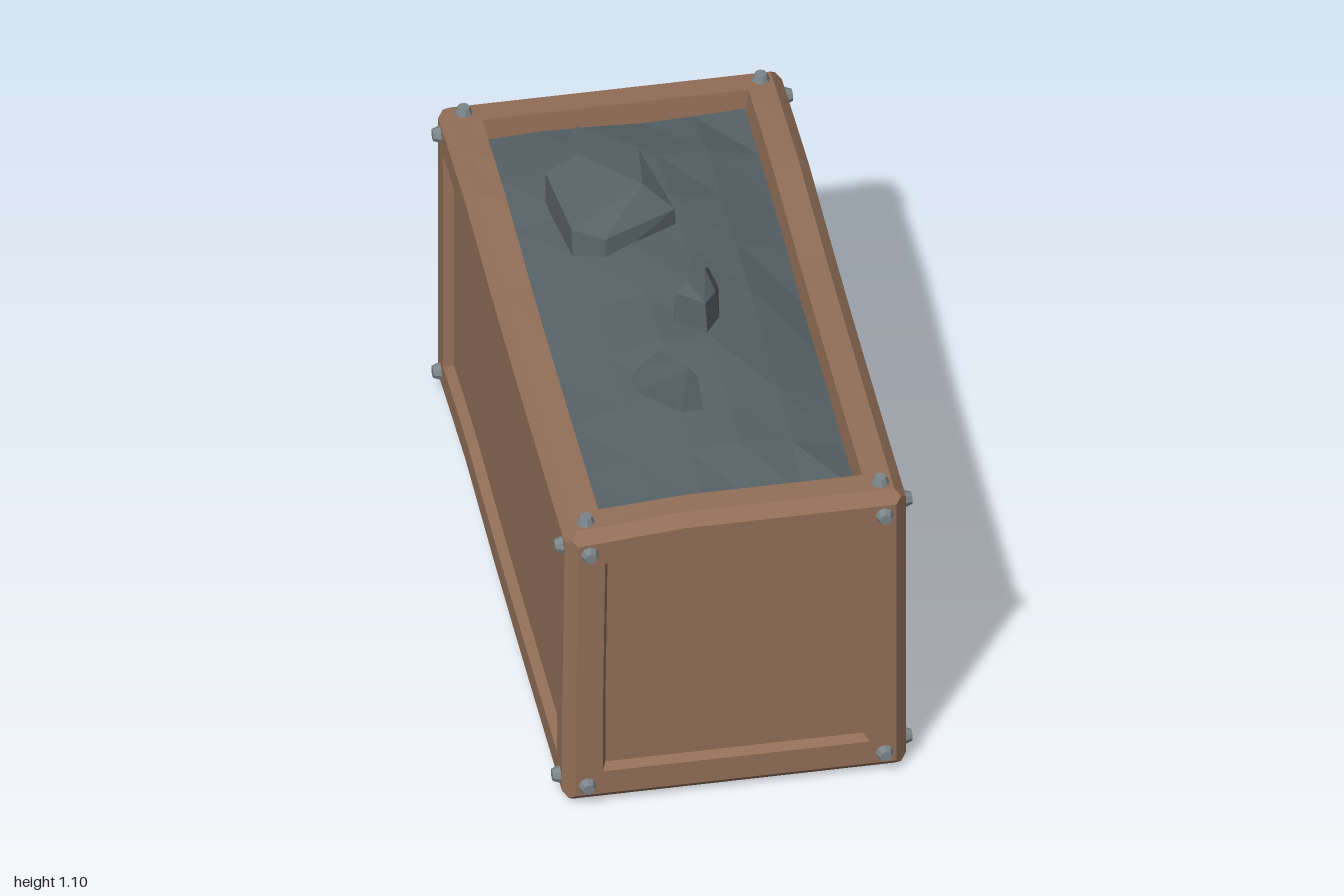
import * as THREE from 'three';
import { ConvexGeometry } from 'three/addons/geometries/ConvexGeometry.js';

const HALF = [0.48, 0.477, 0.978];   // half sizes of the crate
const SEG = [3, 3, 9];               // subdivisions along each axis
const CY = 0.482, BEVEL = 0.032, RAIL = 0.108;

// Gentle sag and bulge that makes the crate look hand-hewn
const SAG = [[-1, 0.0], [-0.87, 0.008], [-0.55, 0.025], [-0.05, 0.002], [0.4, -0.003], [1, 0]];
function warp(p) {
  let dy = 0;
  for (let i = 0; i < SAG.length - 1; i++) {
    const [z0, a] = SAG[i], [z1, b] = SAG[i + 1];
    if (p.z >= z0 && p.z <= z1) dy = a + (b - a) * (p.z - z0) / (z1 - z0);
  }
  const high = Math.max(0, p.y - 0.3) / 0.66;
  const corner = Math.max(0, -p.x - 0.17) / 0.3 * Math.max(0, p.z);
  p.y += dy - 0.03 * corner * high;
  p.x += 0.008 * high * (p.x < 0 ? 1 : 0) * Math.max(0, p.z);
  return p;
}

// Maps face coordinates (a, b, height above the face) into the crate
function facePoint(axis, sign, a, b, h) {
  const c = [0, 0, 0];
  c[axis] = sign * (HALF[axis] + h);
  c[(axis + 1) % 3] = a * sign;
  c[(axis + 2) % 3] = b;
  return warp(new THREE.Vector3(c[0], c[1] + CY, c[2]));
}

function flatGeometry(triangles) {
  const g = new THREE.BufferGeometry().setFromPoints(triangles);
  g.computeVertexNormals();
  return g;
}

// Rectangle as a closed loop of subdivided edges, counter-clockwise
function loop(axis, sign, inset, h) {
  const u = (axis + 1) % 3, v = (axis + 2) % 3;
  const A = HALF[u] - inset, B = HALF[v] - inset, pts = [];
  const corners = [[-A, -B], [A, -B], [A, B], [-A, B]];
  corners.forEach((c, k) => {
    const d = corners[(k + 1) % 4], n = k % 2 ? SEG[v] : SEG[u];
    for (let i = 0; i < n; i++) {
      const t = i / n;
      pts.push(facePoint(axis, sign, c[0] + (d[0] - c[0]) * t, c[1] + (d[1] - c[1]) * t, h));
    }
  });
  return pts;
}

// Bevelled frame with a step down to the panel
function frameGeometry(axis, sign, depth) {
  const rings = [[BEVEL / 2, -BEVEL / 2], [BEVEL, 0], [RAIL, 0], [RAIL + 0.012, -depth]]
    .map(([inset, h]) => loop(axis, sign, inset, h));
  const tris = [];
  for (let r = 0; r < rings.length - 1; r++) {
    const o = rings[r], n = rings[r + 1];
    for (let i = 0; i < o.length; i++) {
      const j = (i + 1) % o.length;
      tris.push(o[i], o[j], n[j], o[i], n[j], n[i]);
    }
  }
  return flatGeometry(tris);
}

// Grid over the inside of a frame; height(a, b) runs on -1..1
function panelGeometry(axis, sign, nu, nv, height) {
  const u = (axis + 1) % 3, v = (axis + 2) % 3;
  const A = HALF[u] - RAIL - 0.012, B = HALF[v] - RAIL - 0.012, tris = [];
  const at = (i, j) => {
    const a = 2 * i / nu - 1, b = 2 * j / nv - 1;
    return facePoint(axis, sign, a * A, b * B, height(a, b));
  };
  for (let i = 0; i < nu; i++) for (let j = 0; j < nv; j++) {
    const p = at(i, j), q = at(i + 1, j), r = at(i + 1, j + 1), s = at(i, j + 1);
    tris.push(p, q, r, p, r, s);
  }
  return flatGeometry(tris);
}

export function createModel() {
  const group = new THREE.Group();
  const mat = (name, color) => {
    const m = new THREE.MeshStandardMaterial({ color });
    m.name = name;
    return m;
  };
  const wood = mat('brown wood', 0x926f58);
  const stone = mat('slate stone', 0x566165);
  const metal = mat('grey metal', 0x7b8589);
  const add = (name, geometry, material) => {
    const m = new THREE.Mesh(geometry, material);
    m.name = name;
    group.add(m);
    return m;
  };

  // Six framed sides; the top one is open
  const sides = [['left', 0, 1], ['right', 0, -1], ['top', 1, 1], ['bottom', 1, -1], ['front', 2, 1], ['back', 2, -1]];
  for (const [name, axis, sign] of sides) {
    const isTop = name === 'top';
    add(name + 'Frame', frameGeometry(axis, sign, isTop ? 0.1 : 0.028), wood);
    if (!isTop) {
      const nu = SEG[(axis + 1) % 3], nv = SEG[(axis + 2) % 3];
      add(name + 'Panel', panelGeometry(axis, sign, nu, nv, () => -0.028), wood);
    }
  }

  // Heaped stone filling; on the top face a runs along z and b along x
  add('stoneFill', panelGeometry(1, 1, 8, 5, (a, b) =>
    -0.06 + 0.09 * (1 - a * a) * (1 - b * b) + 0.006 * Math.sin(a * 9 + b * 4)), stone);

  // Rivets in the corners of every side but the bottom
  const rivet = new THREE.CylinderGeometry(0.017, 0.026, 0.024, 8).toNonIndexed();
  rivet.computeVertexNormals();
  const up = new THREE.Vector3(0, 1, 0);
  for (const [name, axis, sign] of sides) {
    if (name === 'bottom') continue;
    const A = HALF[(axis + 1) % 3] - 0.065, B = HALF[(axis + 2) % 3] - 0.065;
    for (const a of [-A, A]) for (const b of [-B, B]) {
      const m = add(name + 'Rivet', rivet, metal);
      m.position.copy(facePoint(axis, sign, a, b, 0.01));
      const n = new THREE.Vector3().setComponent(axis, sign);
      m.quaternion.setFromUnitVectors(up, n);
    }
  }

  // Rocks sticking out of the filling
  const rocks = {
    largeRock: [
      [-0.155, 0.93, -0.695], [0.005, 0.93, -0.53], [0.07, 0.93, -0.3], [-0.15, 0.95, -0.185],
      [-0.235, 0.95, -0.23], [-0.262, 0.93, -0.5], [-0.262, 1.05, -0.5], [-0.15, 1.09, -0.64],
      [-0.17, 1.1, -0.5], [0.0, 1.09, -0.51], [0.06, 1.04, -0.29], [-0.02, 1.1, -0.34],
      [-0.15, 1.03, -0.2], [-0.235, 1.04, -0.25]],
    middleRock: [
      [0.11, 0.95, 0.0], [0.12, 0.95, 0.05], [0.11, 0.95, 0.13], [0.065, 0.95, 0.2], [-0.02, 0.95, 0.13],
      [-0.01, 0.95, 0.08], [0.04, 0.95, 0.02], [0.02, 1.105, 0.11], [0.08, 1.1, 0.06],
      [0.1, 1.06, 0.01], [0.118, 1.03, 0.06], [0.06, 1.07, 0.18], [-0.01, 1.07, 0.12], [0.1, 1.06, 0.12]],
    smallRock: [
      [-0.185, 0.93, 0.32], [-0.08, 0.93, 0.3], [0.0, 0.92, 0.5], [-0.07, 0.92, 0.5], [-0.185, 0.93, 0.37],
      [-0.04, 1.085, 0.47], [-0.015, 1.05, 0.475], [-0.09, 1.03, 0.31], [-0.14, 1.0, 0.32], [-0.09, 1.04, 0.45]],
  };
  for (const [name, pts] of Object.entries(rocks)) {
    add(name, new ConvexGeometry(pts.map(p => new THREE.Vector3(...p))), stone);
  }
  return group;
}
